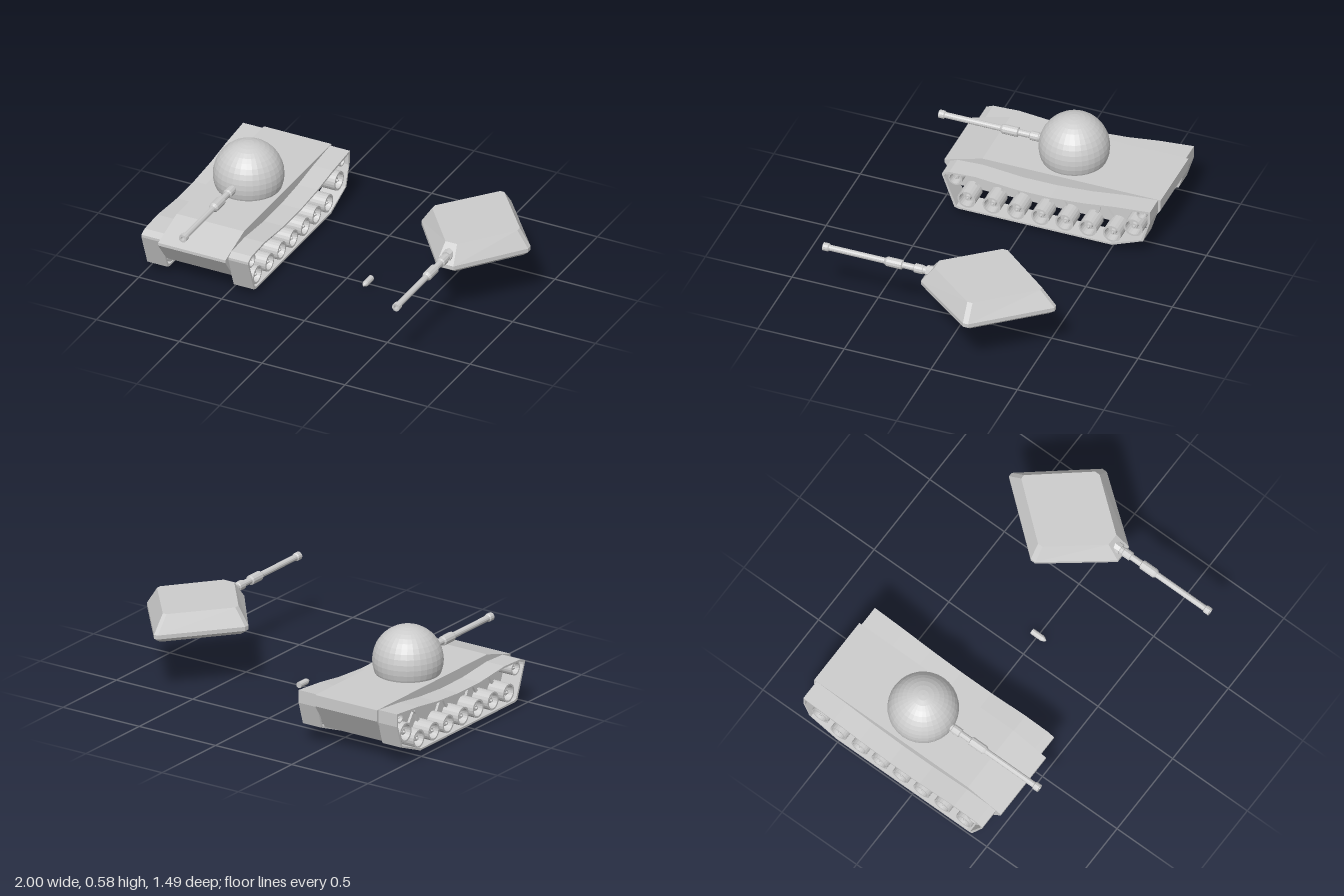
import * as THREE from 'three';

const mat = new THREE.MeshStandardMaterial({ color: 0xcccccc, flatShading: true, side: THREE.DoubleSide });

function add(parent, name, geo, x = 0, y = 0, z = 0) {
  const m = new THREE.Mesh(geo, mat);
  m.name = name;
  m.position.set(x, y, z);
  parent.add(m);
  return m;
}
const vecs = (pts) => pts.map(([a, b]) => new THREE.Vector2(a, b));

// Side profile of (z, y) points, extruded across x and centred on x = 0
function extrudeSide(pts, width, hole) {
  const shape = new THREE.Shape(vecs(pts));
  if (hole) shape.holes.push(new THREE.Path(vecs(hole)));
  const g = new THREE.ExtrudeGeometry(shape, { depth: width, bevelEnabled: false });
  return g.translate(0, 0, -width / 2).rotateY(-Math.PI / 2);
}
// Turned part: (radius, position) points around the z or x axis
const latheZ = (pts, n) => new THREE.LatheGeometry(vecs(pts), n).rotateX(Math.PI / 2);
const latheX = (pts, n) => new THREE.LatheGeometry(vecs(pts), n).rotateZ(-Math.PI / 2);

// Gun with stepped sleeves and a bored muzzle, z measured from the rear
function gunGeometry() {
  return latheZ([
    [0, 0], [0.022, 0], [0.022, 0.055], [0.026, 0.06], [0.026, 0.105], [0.018, 0.11], [0.018, 0.175],
    [0.027, 0.18], [0.027, 0.265], [0.021, 0.275], [0.017, 0.28], [0.017, 0.6], [0.023, 0.605],
    [0.023, 0.635], [0.012, 0.635], [0.012, 0.52], [0, 0.52],
  ], 12);
}

// Dished wheel with raised rim and hub, facing +x
function wheelGeometry(r, w) {
  return latheX([
    [0, 0], [r, 0], [r, w], [r * 0.8, w], [r * 0.72, w * 0.55], [r * 0.36, w * 0.55],
    [r * 0.3, w * 0.85], [r * 0.14, w * 0.85], [r * 0.1, w * 0.95], [0, w * 0.95],
  ], 20);
}

// Flat bar between two (z, y) points
function addArm(parent, a, b, x) {
  const dz = b[0] - a[0], dy = b[1] - a[1];
  const g = new THREE.BoxGeometry(0.014, 0.018, Math.hypot(dz, dy));
  add(parent, 'suspensionArm', g, x, (a[1] + b[1]) / 2, (a[0] + b[0]) / 2).rotation.x = -Math.atan2(dy, dz);
}

// Running gear on one side (built for +x)
function buildTrack() {
  const g = new THREE.Group();
  const outline = [
    [0.47, 0.235], [0.4, 0.045], [0.375, 0.037], [-0.51, 0.037], [-0.69, 0.11], [-0.73, 0.24],
    [-0.73, 0.313], [-0.53, 0.295], [-0.35, 0.27], [-0.15, 0.255], [0.05, 0.255],
    [0.28, 0.275], [0.43, 0.268], [0.47, 0.25],
  ];
  const inner = outline.map(([z, y]) => [-0.13 + (z + 0.13) * 0.978, 0.16 + (y - 0.16) * 0.91]);
  add(g, 'trackBand', extrudeSide(outline, 0.122, inner), 0.261);

  const road = [0.335, 0.19, 0.05, -0.09, -0.23, -0.365, -0.505].map((z) => [z, 0.1]);
  road.forEach(([z, y]) => add(g, 'roadWheel', wheelGeometry(0.052, 0.105), 0.205, y, z));
  add(g, 'frontIdler', wheelGeometry(0.04, 0.105), 0.205, 0.222, 0.4);
  add(g, 'driveWheel', wheelGeometry(0.055, 0.105), 0.205, 0.175, -0.628);
  add(g, 'rearRoller', wheelGeometry(0.03, 0.1), 0.205, 0.272, -0.675);

  // Pivots and the arms joining them to the wheels
  const pivots = [[0.275, 0.225], [0.115, 0.225], [-0.155, 0.225], [-0.41, 0.225], [-0.565, 0.242]];
  pivots.forEach(([z, y]) =>
    add(g, 'suspensionPivot', latheX([[0, 0], [0.026, 0], [0.026, 0.035], [0, 0.035]], 16), 0.2, y, z));
  const links = [
    [pivots[0], road[0]], [pivots[0], [0.4, 0.222]], [pivots[1], road[1]], [pivots[1], road[2]],
    [pivots[2], road[3]], [pivots[2], road[4]], [pivots[3], road[5]], [pivots[3], road[6]],
    [pivots[4], [-0.675, 0.272]],
  ];
  links.forEach(([a, b]) => addArm(g, a, b, 0.215));
  return g;
}

// Solid skinned over closed rings of [x, y, z] points, listed bottom to top
function loft(rings) {
  const n = rings[0].length, pos = rings.flat(2), idx = [];
  for (let r = 0; r < rings.length - 1; r++)
    for (let i = 0; i < n; i++) {
      const a = r * n + i, b = r * n + (i + 1) % n;
      idx.push(a, b, b + n, a, b + n, a + n);
    }
  const top = (rings.length - 1) * n;
  for (let i = 1; i < n - 1; i++) idx.push(0, i + 1, i, top, top + i, top + i + 1);
  const g = new THREE.BufferGeometry();
  g.setAttribute('position', new THREE.Float32BufferAttribute(pos, 3));
  g.setIndex(idx);
  const flat = g.toNonIndexed();
  flat.computeVertexNormals();
  return flat;
}

// Diamond outline with clipped corners and a blunt nose
function diamond(y, halfX, front, back, nose) {
  return [
    [nose, y, front], [halfX, y, -0.185], [halfX, y, -0.215], [0.012, y, back],
    [-0.012, y, back], [-halfX, y, -0.215], [-halfX, y, -0.185], [-nose, y, front],
  ];
}

export function createModel() {
  const model = new THREE.Group();

  // Vehicle with domed turret
  const tank = new THREE.Group();
  tank.name = 'tank';
  tank.position.x = -0.678;
  model.add(tank);
  const hull = [
    [0.505, 0.25], [0.505, 0.233], [0.41, 0.105], [-0.655, 0.105], [-0.745, 0.25],
    [-0.745, 0.315], [0.285, 0.315],
  ];
  add(tank, 'hull', extrudeSide(hull, 0.406));
  const left = buildTrack();
  left.name = 'leftTrack';
  const right = buildTrack();
  right.name = 'rightTrack';
  right.scale.x = -1;
  tank.add(left, right);
  add(tank, 'domeTurret', new THREE.SphereGeometry(0.193, 32, 20), 0, 0.385, -0.166);
  add(tank, 'domeGun', gunGeometry(), 0, 0.387, -0.022);

  // Separate diamond-shaped turret
  const turret = new THREE.Group();
  turret.name = 'spareTurret';
  turret.position.x = 0.677;
  model.add(turret);
  add(turret, 'turretBody', loft([
    diamond(0.313, 0.295, 0.135, -0.56, 0.045),
    diamond(0.335, 0.322, 0.165, -0.592, 0.05),
    diamond(0.358, 0.322, 0.165, -0.592, 0.05),
    diamond(0.456, 0.257, 0.092, -0.51, 0.035),
  ]));
  add(turret, 'gunCollar', latheZ([[0, 0], [0.036, 0], [0.03, 0.06], [0, 0.06]], 8), 0, 0.398, 0.09);
  add(turret, 'turretGun', gunGeometry(), 0, 0.397, 0.112);

  // Loose pointed shell lying on the ground
  add(model, 'shell', latheZ([
    [0, -0.037], [0.017, -0.037], [0.017, 0.03], [0.012, 0.043], [0.004, 0.055], [0, 0.056],
  ], 12), 0.128, 0.017, 0);

  return model;
}
